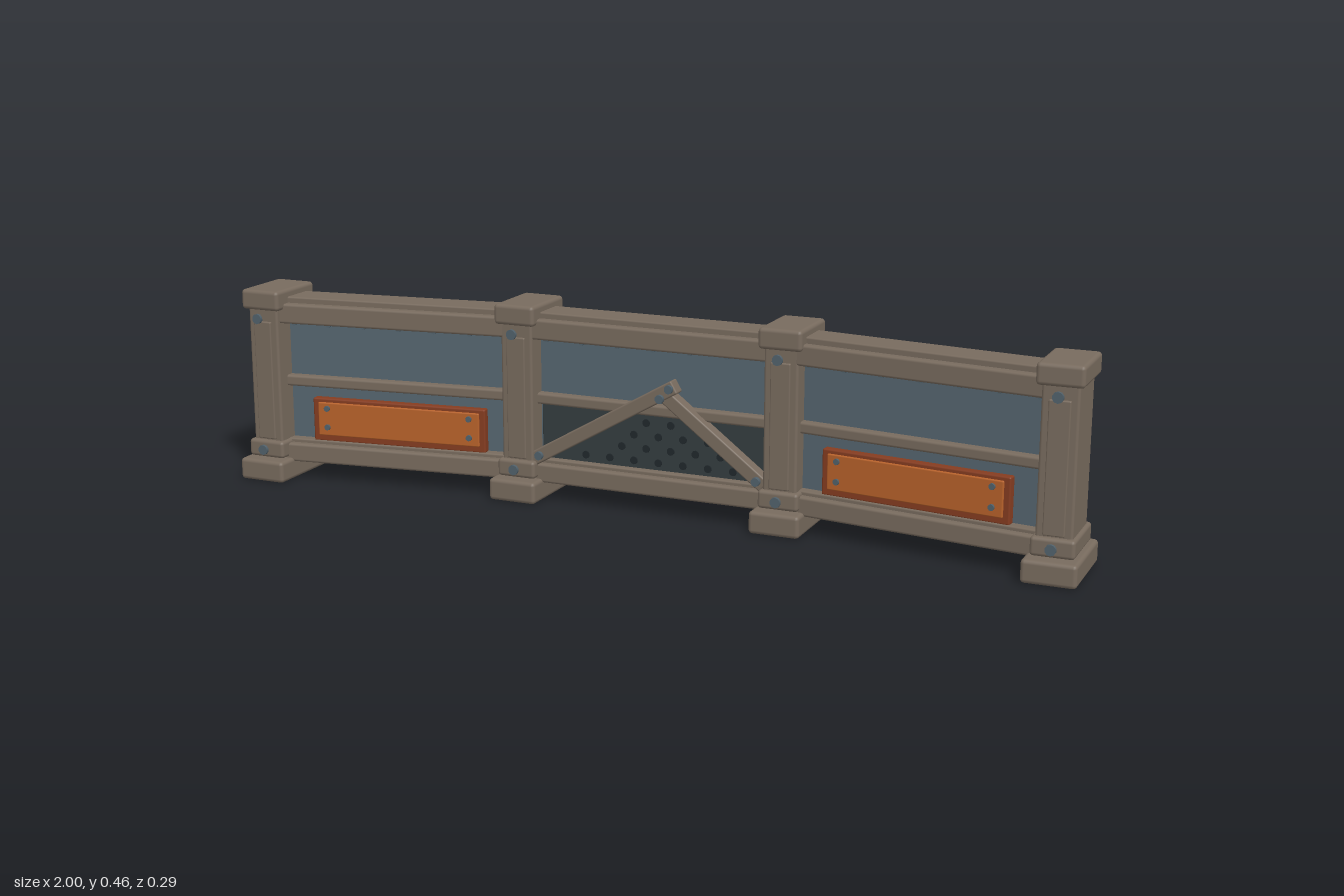
import * as THREE from 'three';
import { RoundedBoxGeometry } from 'three/addons/geometries/RoundedBoxGeometry.js';

const mat = (name, color) => Object.assign(new THREE.MeshStandardMaterial({ color }), { name });
const M = {
  frame: mat('warm grey frame', 0x786b5e),
  panel: mat('slate panel', 0x566670),
  mesh: mat('dark backing', 0x343d3f),
  hole: mat('perforation', 0x20272b),
  bolt: mat('steel bolt', 0x51616b),
  orange: mat('orange plate', 0xb8622a),
  rust: mat('rust border', 0x853c20),
};

function add(parent, name, geometry, material, x, y, z) {
  const m = new THREE.Mesh(geometry, material);
  m.name = name;
  m.position.set(x, y, z);
  parent.add(m);
  return m;
}

// Softly bevelled block given by its size and its bottom and top heights
function block(parent, name, w, y0, y1, d, x = 0, z = 0, material = M.frame, r = 0.006) {
  const g = new RoundedBoxGeometry(w, y1 - y0, d, 2, r);
  return add(parent, name, g, material, x, (y0 + y1) / 2, z);
}

// Short round head facing along z
function bolt(parent, name, x, y, z, r, h, material = M.bolt) {
  const g = new THREE.CylinderGeometry(r, r, h, 10);
  g.rotateX(Math.PI / 2);
  return add(parent, name, g, material, x, y, z);
}

function makePost(x, z) {
  const post = new THREE.Group();
  post.name = 'post';
  post.position.set(x, 0, z);
  block(post, 'postFoot', 0.117, 0, 0.051, 0.203, 0, 0, M.frame, 0.009);
  block(post, 'postCollar', 0.094, 0.053, 0.094, 0.155, 0, 0, M.frame, 0.008);
  block(post, 'postShaft', 0.078, 0.05, 0.415, 0.131);
  block(post, 'postCap', 0.1, 0.408, 0.455, 0.157, 0, 0, M.frame, 0.009);
  for (const s of [-1, 1]) {
    block(post, 'postFacePlate', 0.046, 0.097, 0.38, 0.01, 0, s * 0.066, M.frame, 0.003);
    for (const y of [0.074, 0.39]) bolt(post, 'postBolt', 0, y, s * 0.0885, 0.012, 0.007);
  }
  return post;
}

// Wall section between two posts, built along its own x axis
function makeSection(a, b) {
  const section = new THREE.Group();
  section.name = 'wallSection';
  const dx = b[0] - a[0], dz = b[1] - a[1];
  const len = Math.hypot(dx, dz);
  section.position.set((a[0] + b[0]) / 2, 0, (a[1] + b[1]) / 2);
  section.rotation.y = -Math.atan2(dz, dx);
  const L = len - 0.04;
  block(section, 'wallPanel', L, 0.07, 0.4, 0.036, 0, 0, M.panel, 0.003);
  block(section, 'topRail', L, 0.376, 0.423, 0.12);
  block(section, 'topRailCap', L, 0.415, 0.437, 0.082, 0, 0, M.frame, 0.004);
  block(section, 'middleRail', L, 0.222, 0.248, 0.078);
  block(section, 'bottomRail', L, 0.042, 0.086, 0.114);
  block(section, 'bottomRailCap', L, 0.08, 0.095, 0.082, 0, 0, M.frame, 0.004);
  for (const s of [-1, 1]) {
    for (let i = -3; i <= 3; i++) bolt(section, 'rivet', i * 0.088, 0.371, s * 0.021, 0.006, 0.008);
  }
  return section;
}

// Bordered orange plates on both faces of a section
function addOrangePlates(section) {
  for (const s of [-1, 1]) {
    block(section, 'plateBorder', 0.432, 0.093, 0.197, 0.022, 0, s * 0.027, M.rust, 0.004);
    block(section, 'orangePlate', 0.404, 0.108, 0.188, 0.009, 0, s * 0.038, M.orange, 0.003);
    for (const x of [-0.178, 0.178]) {
      for (const y of [0.129, 0.174]) bolt(section, 'plateBolt', x, y, s * 0.0445, 0.007, 0.007);
    }
  }
}

// Perforated backing and a pair of leaning braces on both faces
function addBraces(section) {
  const braces = [
    { a: [-0.285, 0.096], b: [0.068, 0.3], out: 0.046 },
    { a: [0.032, 0.284], b: [0.28, 0.096], out: 0.043 },
  ];
  for (const s of [-1, 1]) {
    block(section, 'darkBacking', 0.55, 0.09, 0.225, 0.008, 0, s * 0.02, M.mesh, 0.002);
    for (let row = 0; row < 4; row++) {
      const y = 0.112 + row * 0.03;
      for (let x = -0.225 + (row % 2) * 0.03; x < 0.25; x += 0.06) {
        // Keep the holes under the braces
        if (y < 0.25 - 0.62 * Math.abs(x - 0.04)) bolt(section, 'hole', x, y, s * 0.025, 0.009, 0.004, M.hole);
      }
    }
    for (const { a, b, out } of braces) {
      const dx = b[0] - a[0], dy = b[1] - a[1];
      const g = new RoundedBoxGeometry(Math.hypot(dx, dy), 0.032, 0.032, 2, 0.004);
      const beam = add(section, 'brace', g, M.frame, (a[0] + b[0]) / 2, (a[1] + b[1]) / 2, s * out);
      beam.rotation.z = Math.atan2(dy, dx);
    }
    for (const [x, y] of [[0.057, 0.295], [0.035, 0.271], [-0.265, 0.108], [0.264, 0.108]]) {
      bolt(section, 'braceBolt', x, y, s * 0.064, 0.01, 0.012);
    }
  }
}

export function createModel() {
  const model = new THREE.Group();
  model.name = 'barrier';
  const posts = [[-0.941, 0.0425], [-0.319, -0.0425], [0.319, -0.0425], [0.941, 0.0425]];
  for (const [x, z] of posts) model.add(makePost(x, z));
  for (let i = 0; i < 3; i++) {
    const section = makeSection(posts[i], posts[i + 1]);
    if (i === 1) addBraces(section);
    else addOrangePlates(section);
    model.add(section);
  }
  return model;
}
